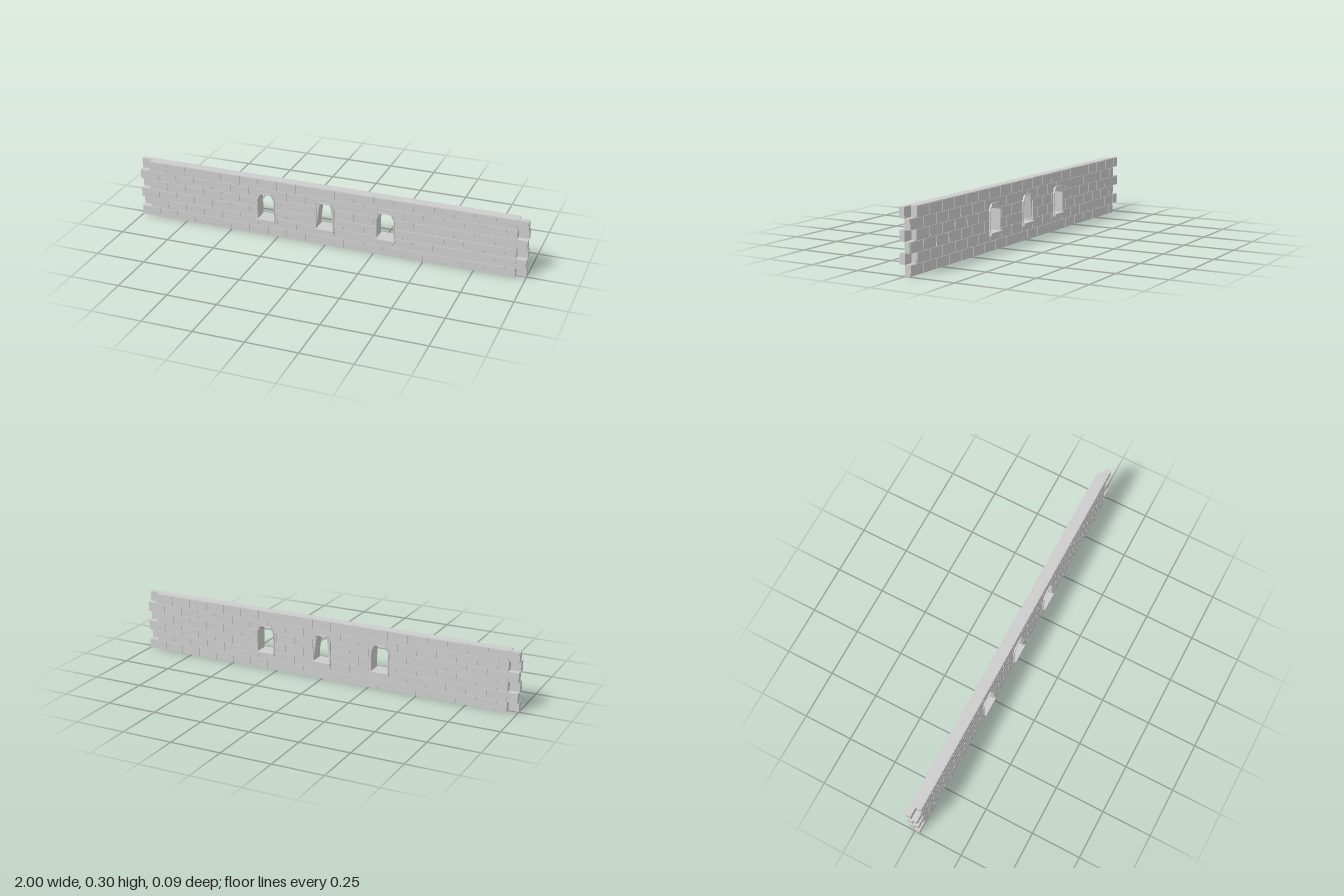
import * as THREE from 'three';
import { ConvexGeometry } from 'three/addons/geometries/ConvexGeometry.js';

const material = new THREE.MeshStandardMaterial({ color: 0xcccccc, flatShading: true });
const COURSES = 6, H = 0.05, BRICK = 0.1, GAP = 0.0022;
const CORE = 0.025, FACE = 0.0285;
const WINDOWS = [-0.31, 0, 0.31];
const OPEN = { half: 0.043, bottom: 0.085, spring: 0.192, top: 0.222 };

function add(parent, geometry, name) {
  const mesh = new THREE.Mesh(geometry, material);
  mesh.name = name;
  parent.add(mesh);
  return mesh;
}

// Box given by its limits
function block(parent, name, x0, x1, y0, y1, z0, z1) {
  const mesh = add(parent, new THREE.BoxGeometry(x1 - x0, y1 - y0, z1 - z0), name);
  mesh.position.set((x0 + x1) / 2, (y0 + y1) / 2, (z0 + z1) / 2);
}

// Window outline with a three-sided head; grow widens it, cx shifts it
function arch(cx, grow = 0, bottom = OPEN.bottom) {
  const w = OPEN.half + grow, t = 0.026 + grow * 0.5;
  return [
    [-w, bottom], [w, bottom], [w, OPEN.spring + grow * 0.5],
    [t, OPEN.top + grow], [-t, OPEN.top + grow], [-w, OPEN.spring + grow * 0.5],
  ].map(([x, y]) => new THREE.Vector2(x + cx, y));
}

function extrude(outline, holes, depth) {
  const shape = new THREE.Shape(outline);
  shape.holes = holes.map((points) => new THREE.Path(points));
  return new THREE.ExtrudeGeometry(shape, { depth, bevelEnabled: false });
}

// Odd and even courses are shifted by half a brick, leaving toothed ends
const courseStart = (row) => (row % 2 ? -0.95 : -1);

// One leaf of the wall: mortar core with bricks on its outer face
function wallLeaf(name) {
  const leaf = new THREE.Group();
  leaf.name = name;

  const right = [], left = [];
  for (let row = 0; row < COURSES; row++) {
    const x = courseStart(row);
    for (const y of [row * H, (row + 1) * H]) {
      right.push(new THREE.Vector2(x + 1.95, y));
      left.unshift(new THREE.Vector2(x, y));
    }
  }
  add(leaf, extrude([...right, ...left], WINDOWS.map((x) => arch(x)), CORE), 'mortarCore');

  for (let row = 0; row < COURSES; row++) {
    const start = courseStart(row), y0 = row * H + GAP, y1 = (row + 1) * H - GAP;
    const brick = (a, b, low, high) => {
      if (b - a > 0.002 && high - low > 0.002) block(leaf, 'brick', a, b, low, high, CORE - 0.005, FACE);
    };
    for (let i = 0; i < 20; i++) {
      let a = start + i * BRICK + GAP;
      const b = Math.min(start + (i + 1) * BRICK, start + 1.95) - GAP;
      // Trim bricks round the windows
      for (const cx of row > 0 && row < 5 ? WINDOWS : []) {
        const l = cx - OPEN.half, r = cx + OPEN.half;
        if (r <= a || l >= b) continue;
        brick(a, l, y0, y1);
        const c = Math.max(a, l), d = Math.min(b, r);
        brick(c, d, y0, Math.min(y1, OPEN.bottom));
        brick(c, d, Math.max(y0, OPEN.top), y1);
        a = d;
      }
      brick(a, b, y0, y1);
    }
  }
  return leaf;
}

// Surround and sill that pass through the wall
function windowFrame(cx) {
  const frame = new THREE.Group();
  frame.name = 'window';
  const surround = add(frame, extrude(arch(0, 0.005, 0.08), [arch(0)], 0.07), 'windowSurround');
  surround.position.z = -0.035;
  block(frame, 'windowSill', -0.049, 0.049, 0.077, 0.089, -0.044, 0.044);
  frame.position.x = cx;
  return frame;
}

export function createModel() {
  const model = new THREE.Group();
  model.name = 'brickWall';

  // The back leaf is the front one turned half round
  const back = wallLeaf('backLeaf');
  back.rotation.y = Math.PI;
  model.add(wallLeaf('frontLeaf'), back);

  for (const x of WINDOWS) model.add(windowFrame(x));

  // Slanted cheeks that narrow the middle window towards its head
  for (const s of [-1, 1]) {
    const points = [[0.045, 0.087, 0.03], [0.045, 0.087, -0.03], [0.045, 0.195, 0.03],
      [0.045, 0.195, -0.03], [0.026, 0.224, 0.03], [0.026, 0.224, -0.03], [0.021, 0.223, 0]];
    add(model, new ConvexGeometry(points.map(([x, y, z]) => new THREE.Vector3(s * x, y, z))), 'windowCheek');
  }
  return model;
}
